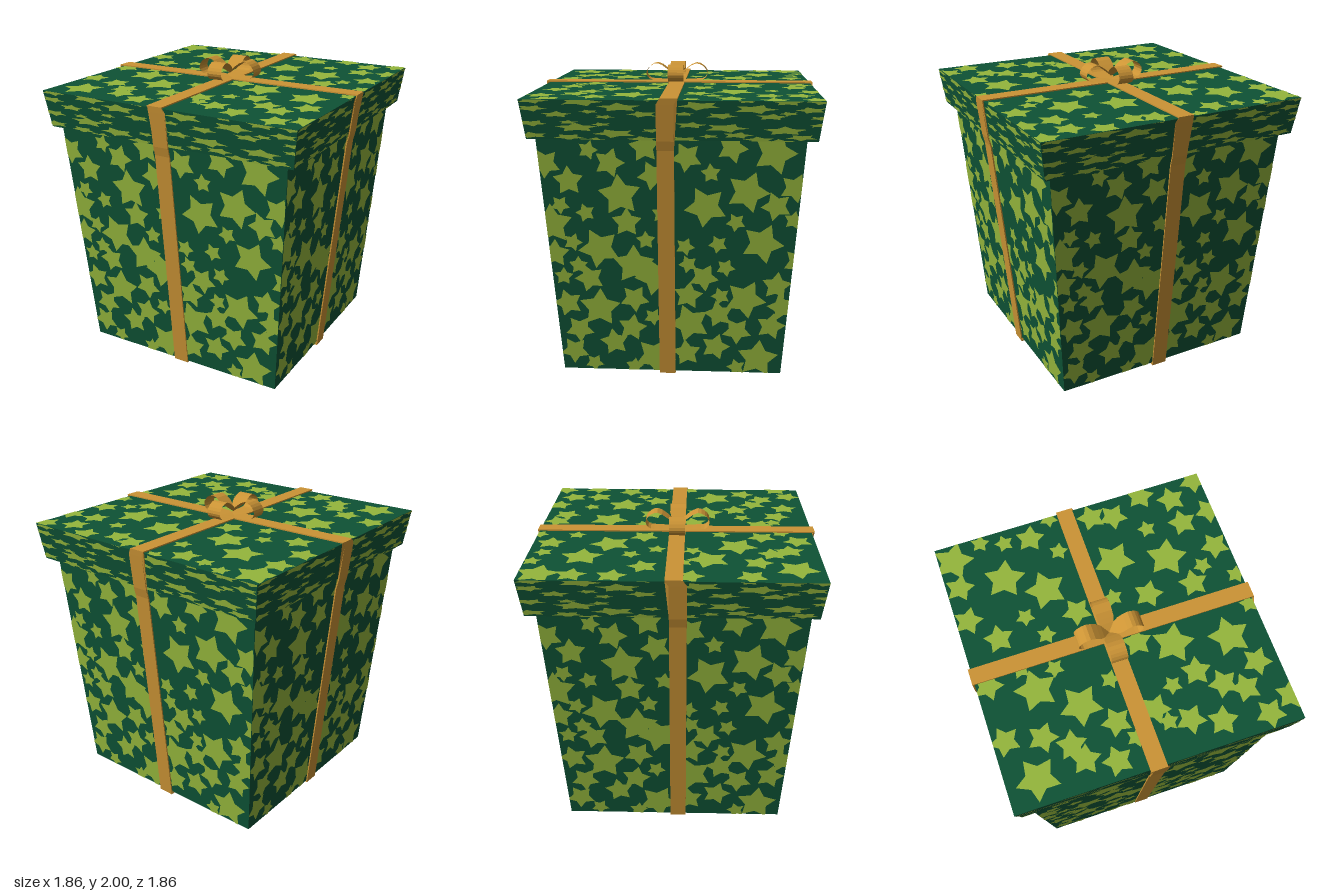
import * as THREE from 'three';
import { mergeGeometries } from 'three/addons/utils/BufferGeometryUtils.js';

const mat = (name, color, side = THREE.FrontSide) =>
  Object.assign(new THREE.MeshStandardMaterial({ color, side }), { name });

// star centres in hundredths of a unit: [x, y] pairs by size
const SIDE_STARS = {
  large: [64, 153, -32, 125, 22, 118, 48, 128, -76, 105, -46, 89, 58, 94, -24, 78, -10, 70, 48, 55,
    -47, 47, 12, 37, -11, 12, 57, 12],
  medium: [-38, 146, -16, 156, 10, 150, 38, 156, -64, 134, -11, 138, 77, 131, -28, 107, 66, 119, 81, 82,
    -75, 85, -53, 68, 21, 70, 68, 65, -68, 50, -24, 54, 11, 57, 72, 50, -61, 31, -26, 33, 31, 44,
    43, 32, 65, 36, -38, 22, -65, 15, 29, 20, 10, 15, -78, 145],
  small: [-51, 154, 25, 140, 41, 108, -63, 93, -16, 95, 30, 93, 9, 91, -60, 77, 11, 79, 35, 77,
    -70, 69, 32, 57, -12, 41, -6, 113, -54, 113, -52, 6, -25, 4, 43, 5, -70, 118, 77, 110],
};
const TOP_STARS = {
  large: [-54, 57, -31, 41, 17, 47, 50, 38, -57, -22, -34, -40, 33, -20, 68, -27, -72, -75, -82, 80],
  medium: [-30, 80, 13, 82, 27, 78, 49, 87, 68, 78, 87, 87, -83, 60, 69, 59, 89, 62, -84, 36, -69, 18,
    -17, 20, 30, 17, 60, 15, 83, 36, -84, -10, 12, -12, -84, -47, -62, -52, -47, -62, -17, -57, 8, -57,
    40, -42, 53, -55, 78, -48, -42, -73, -24, -80, 26, -70, 44, -77, 65, -62, 73, -82, 89, -75],
  small: [-62, 87, -47, 82, -14, 90, -15, 65, 45, 62, -49, 27, -40, 11, 8, 22, 70, 25, 88, 12,
    -62, -6, -42, -12, -12, -30, 88, -10, 23, -46, -9, -70, 13, -67],
};
const RADIUS = { large: 0.14, medium: 0.1, small: 0.065 };

// keep the part of a polygon where f >= 0
function clip(poly, f) {
  const out = [];
  poly.forEach((p, i) => {
    const q = poly[(i + 1) % poly.length], a = f(p), b = f(q);
    if (a >= 0) out.push(p);
    if (a * b < 0) out.push(p.clone().lerp(q, a / (a - b)));
  });
  return out;
}

// flat stars trimmed to a trapezoid with half-width half(y) between y0 and y1
function starSheet(stars, y0, y1, half, squash = 1, shiftY = 0) {
  const geos = [];
  for (const size in stars) {
    for (let i = 0; i < stars[size].length; i += 2) {
      const cx = stars[size][i] / 100, cy = stars[size][i + 1] / 100;
      let poly = [];
      for (let k = 0; k < 10; k++) {
        const r = RADIUS[size] * (k % 2 ? 0.55 : 1), a = k * Math.PI / 5 + i * 0.83;
        poly.push(new THREE.Vector2(cx + r * Math.cos(a), (cy + r * Math.sin(a)) * squash + shiftY));
      }
      for (const f of [p => p.y - y0, p => y1 - p.y, p => half(p.y) - p.x, p => half(p.y) + p.x]) {
        poly = clip(poly, f);
      }
      if (poly.length > 2) geos.push(new THREE.ShapeGeometry(new THREE.Shape(poly)));
    }
  }
  return mergeGeometries(geos);
}

// lay a sheet of stars on the sloping front wall
function leanOut(geo, half) {
  const p = geo.attributes.position;
  for (let i = 0; i < p.count; i++) p.setZ(i, half(p.getY(i)) + 0.003);
  geo.computeVertexNormals();
  return geo;
}

// square tapered block with hard edges
function taperedBlock(y0, y1, half) {
  const s = Math.SQRT2;
  const geo = new THREE.CylinderGeometry(half(y1) * s, half(y0) * s, y1 - y0, 4, 1, false, Math.PI / 4)
    .translate(0, (y0 + y1) / 2, 0).toNonIndexed();
  geo.computeVertexNormals();
  return geo;
}

// ribbon band running around the box in the xy plane
function ribbonBand(sideZ, topShift) {
  const width = 0.107;
  const outer = [[0.738, 0], [0.884, 1.55], [0.899, 1.61], [0.925, 1.835], [0.929, 1.873]];
  const inner = [[0.73, 0.008], [0.875, 1.55], [0.89, 1.61], [0.916, 1.835], [0.92, 1.865]];
  const mirrored = pts => [...pts, ...pts.map(([x, y]) => [-x, y]).reverse()]
    .map(([x, y]) => new THREE.Vector2(x, y));
  const shape = new THREE.Shape(mirrored(outer));
  shape.holes.push(new THREE.Path(mirrored(inner)));
  const geo = new THREE.ExtrudeGeometry(shape, { depth: width, bevelEnabled: false })
    .translate(0, 0, sideZ - width / 2);
  const p = geo.attributes.position;
  for (let i = 0; i < p.count; i++) if (p.getY(i) > 1.85) p.setZ(i, p.getZ(i) + topShift);
  geo.computeVertexNormals();
  return geo;
}

// one bow loop along +x, narrowing to a point at the knot
function bowLoop() {
  const path = new THREE.CatmullRomCurve3(
    [[0, 1.9], [0.055, 1.95], [0.135, 1.998], [0.19, 1.975], [0.214, 1.93], [0.19, 1.892],
      [0.13, 1.884], [0.055, 1.88], [0, 1.876]].map(([x, y]) => new THREE.Vector3(x, y, 0)));
  const geo = new THREE.PlaneGeometry(1, 1, 20, 1);
  const p = geo.attributes.position;
  for (let i = 0; i < p.count; i++) {
    const c = path.getPoint(p.getX(i) + 0.5);
    p.setXYZ(i, c.x, c.y, Math.sign(p.getY(i)) * Math.min(0.053, Math.max(c.x, 0)));
  }
  const flat = geo.toNonIndexed();
  flat.computeVertexNormals();
  return flat;
}

export function createModel() {
  const paper = mat('dark green paper', 0x0e5235);
  const starPaint = mat('lime star', 0x95b63c);
  const gold = mat('gold ribbon', 0xcc9435, THREE.DoubleSide);

  const model = new THREE.Group();
  model.name = 'giftBox';
  const add = (parent, name, geo, material) => {
    const mesh = new THREE.Mesh(geo, material);
    mesh.name = name;
    parent.add(mesh);
    return mesh;
  };
  const group = name => {
    const g = new THREE.Group();
    g.name = name;
    model.add(g);
    return g;
  };

  // box
  const boxHalf = y => 0.726 + 0.0655 * y;
  const box = group('box');
  box.position.set(-0.004, 0, 0.006);
  add(box, 'boxBody', taperedBlock(0.012, 1.615, boxHalf), paper);
  const boxStars = leanOut(starSheet(SIDE_STARS, 0.012, 1.615, boxHalf), boxHalf);

  // lid
  const lidHalf = y => 0.884 + 0.128 * (y - 1.615);
  const lid = group('lid');
  lid.position.z = -0.003;
  add(lid, 'lidBody', taperedBlock(1.615, 1.86, lidHalf), paper);
  const lidStars = leanOut(starSheet(TOP_STARS, 1.615, 1.86, lidHalf, 0.2, 1.735), lidHalf);

  // the same star print on all four walls
  for (let i = 0; i < 4; i++) {
    add(box, 'boxStars', boxStars, starPaint).rotation.y = i * Math.PI / 2;
    add(lid, 'lidSideStars', lidStars, starPaint).rotation.y = i * Math.PI / 2;
  }
  add(lid, 'lidTopStars', starSheet(TOP_STARS, -0.915, 0.915, () => 0.915)
    .rotateX(-Math.PI / 2).translate(0, 1.863, 0), starPaint);
  add(box, 'baseStars', starSheet(TOP_STARS, -0.726, 0.726, () => 0.726)
    .rotateX(Math.PI / 2).translate(0, 0.009, 0), starPaint);

  // crossing ribbons
  const ribbon = group('ribbon');
  add(ribbon, 'sideToSideRibbon', ribbonBand(0.033, -0.023), gold);
  add(ribbon, 'frontToBackRibbon', ribbonBand(-0.008, -0.018), gold).rotation.y = Math.PI / 2;

  // bow
  const bow = group('bow');
  bow.position.set(-0.028, 0, 0.012);
  const loop = bowLoop();
  for (let i = 0; i < 4; i++) add(bow, 'bowLoop', loop, gold).rotation.y = i * Math.PI / 2;

  return model;
}
